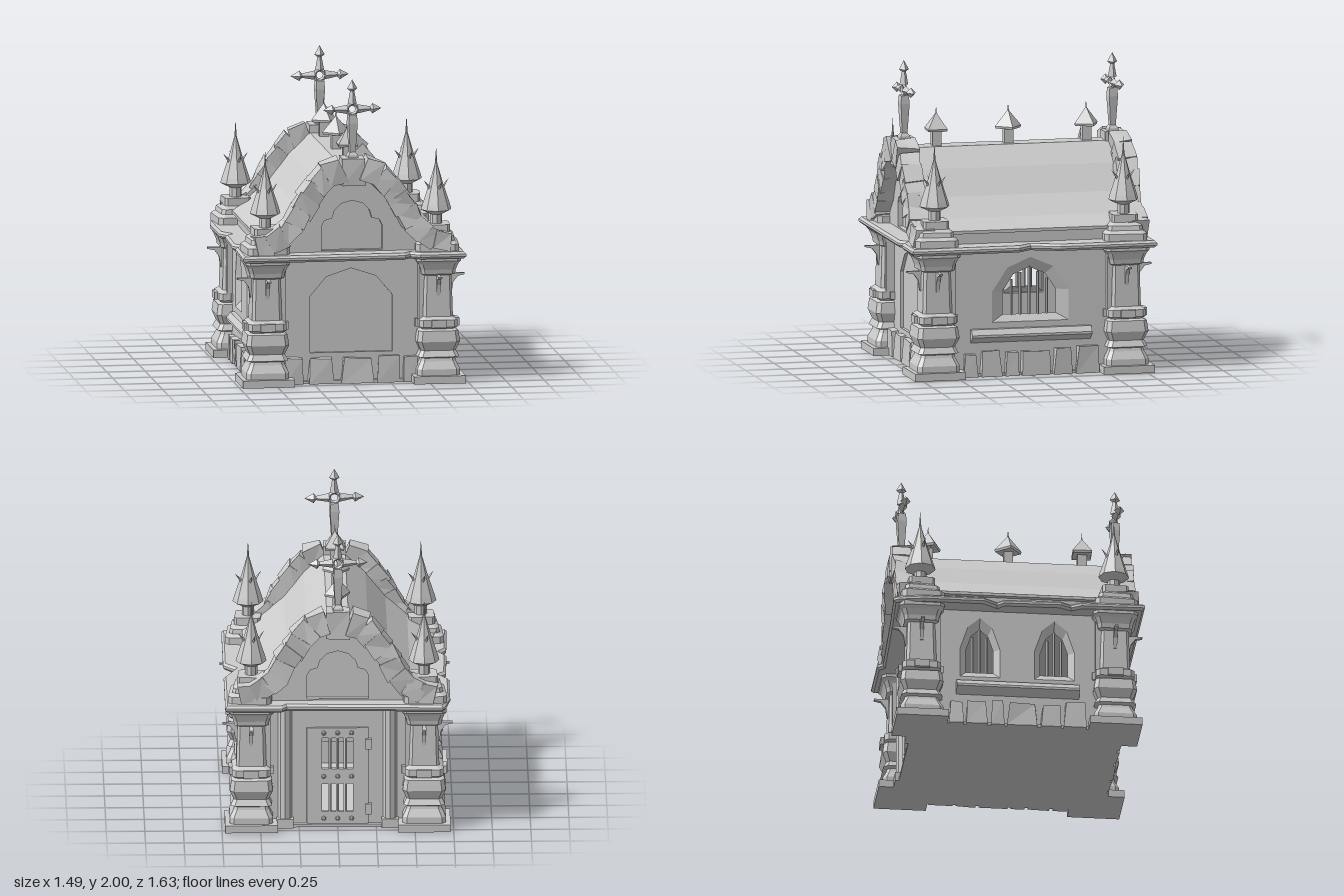
import * as THREE from 'three';

const mat = new THREE.MeshStandardMaterial({ color: 0xcccccc, flatShading: true });
const matDouble = new THREE.MeshStandardMaterial({ color: 0xcccccc, flatShading: true, side: THREE.DoubleSide });
let seed = 7;
const rnd = () => ((seed = (seed * 16807) % 2147483647) / 2147483647) - 0.5;

function add(parent, name, geo, x = 0, y = 0, z = 0, material = mat) {
  const m = new THREE.Mesh(geo, material);
  m.name = name;
  m.position.set(x, y, z);
  parent.add(m);
  return m;
}
function group(parent, name, x = 0, y = 0, z = 0, ry = 0) {
  const g = new THREE.Group();
  g.name = name;
  g.position.set(x, y, z);
  g.rotation.y = ry;
  parent.add(g);
  return g;
}
const box = (w, h, d) => new THREE.BoxGeometry(w, h, d);
const vecs = (pts) => pts.map((p) => new THREE.Vector2(p[0], p[1]));
const lathe = (pts, sides) => new THREE.LatheGeometry(vecs(pts), sides);
const mirrored = (half) => [...half, ...half.filter((p) => p[0] > 0).reverse().map((p) => [-p[0], p[1]])];

// flat plate in xy whose outer face lies on z = 0
function plate(outline, holes, depth) {
  const s = new THREE.Shape(vecs(outline));
  holes.forEach((h) => s.holes.push(new THREE.Path(vecs(h))));
  return new THREE.ExtrudeGeometry(s, { depth, bevelEnabled: false }).translate(0, 0, -depth);
}
const rect = (x0, x1, y0, y1) => [[x1, y0], [x1, y1], [x0, y1], [x0, y0]];
const arch = (w, y0, ys, yt, cx = 0) =>
  mirrored([[w, y0], [w, ys], [w * 0.6, ys + 0.7 * (yt - ys)], [0, yt]]).map((p) => [p[0] + cx, p[1]]);

// chamfered square column from [half width, y] pairs
function squareLoft(pts) {
  const g = new THREE.LatheGeometry(vecs(pts.map(([h, y]) => [h / Math.cos(Math.PI / 8), y])), 8, Math.PI / 8);
  const p = g.attributes.position;
  for (let i = 0; i < p.count; i++) {
    const x = p.getX(i), z = p.getZ(i);
    if (Math.abs(x) > Math.abs(z)) p.setZ(i, z * 1.95);
    else p.setX(i, x * 1.95);
  }
  return g;
}
// rough stone: a box with moved corners, its top narrowed by taper and pushed back
function rock(w, h, d, rough, taper = 1) {
  const g = box(w, h, d), p = g.attributes.position;
  const off = Array.from({ length: 8 }, () => [rnd() * rough, rnd() * rough, rnd() * rough]);
  for (let i = 0; i < p.count; i++) {
    const top = p.getY(i) > 0, k = top ? taper : 1;
    const o = off[(p.getX(i) > 0 ? 1 : 0) + (top ? 2 : 0) + (p.getZ(i) > 0 ? 4 : 0)];
    const lift = taper < 1 && !top ? 0 : o[1];
    p.setXYZ(i, p.getX(i) * k + o[0], p.getY(i) + lift, p.getZ(i) * k + o[2]);
  }
  return g;
}
// sloping reveal between two outlines
function splay(a, b, depth) {
  const v = [];
  a.forEach((p, i) => {
    const j = (i + 1) % a.length, q = a[j], r = b[i], s = b[j];
    v.push(...p, 0, ...q, 0, ...s, -depth, ...p, 0, ...s, -depth, ...r, -depth);
  });
  const g = new THREE.BufferGeometry();
  g.setAttribute('position', new THREE.Float32BufferAttribute(v, 3));
  g.computeVertexNormals();
  return g;
}

function barredWindow(wall, cx, w, bars) {
  const iw = w * 0.69;
  add(wall, 'windowReveal', splay(arch(w, 0.35, 0.55, 0.77, cx), arch(iw, 0.395, 0.55, 0.7, cx), 0.035), 0, 0, 0, matDouble);
  for (let i = 0; i < bars; i++) {
    const x = ((i + 1) / (bars + 1) * 2 - 1) * iw;
    const top = 0.71 - 0.13 * Math.abs(x) / iw;
    add(wall, 'windowBar', new THREE.CylinderGeometry(0.01, 0.01, top - 0.39, 6), cx + x, (top + 0.39) / 2, -0.04);
  }
}
function baseStones(wall, spans) {
  for (const [a, b] of spans) {
    const h = 0.16 + rnd() * 0.03;
    add(wall, 'baseStone', rock(b - a, h, 0.08, 0.015, 0.85), (a + b) / 2, h / 2, 0.005);
  }
}

function column(parent, sx, sz) {
  const c = group(parent, 'cornerColumn', sx * 0.56, 0, sz * 0.63);
  add(c, 'columnBase', box(0.34, 0.05, 0.34), 0, 0.025, 0);
  add(c, 'columnBody', squareLoft([[0.14, 0.05], [0.14, 0.09], [0.115, 0.14], [0.11, 0.16], [0.135, 0.17], [0.115, 0.21],
    [0.14, 0.27], [0.13, 0.34], [0.105, 0.35], [0.125, 0.365], [0.125, 0.41], [0.098, 0.43], [0.09, 0.7], [0.11, 0.71],
    [0.115, 0.74], [0.13, 0.78], [0.145, 0.8], [0.145, 0.83]]));
  add(c, 'pilaster', box(0.2, 0.42, 0.2), -sx * 0.025, 0.61, -sz * 0.025);
  // collar blocks and outward hooks
  add(c, 'collar', box(0.29, 0.05, 0.1), 0, 0.387, 0);
  add(c, 'collar', box(0.1, 0.05, 0.29), 0, 0.387, 0);
  const hook = plate([[0.08, 0.57], [0.1, 0.57], [0.11, 0.64], [0.14, 0.68], [0.185, 0.69], [0.185, 0.7], [0.08, 0.7]], [], 0.024).translate(0, 0, 0.012);
  add(c, 'hook', hook).rotation.y = sx > 0 ? 0 : Math.PI;
  add(c, 'hook', hook).rotation.y = sz > 0 ? -Math.PI / 2 : Math.PI / 2;
  // pedestal and spiked pinnacle above the ledge
  add(c, 'pedestal', squareLoft([[0.14, 0.86], [0.14, 0.91], [0.115, 0.93], [0.11, 0.96], [0.085, 0.98], [0.085, 1.03], [0, 1.03]])).rotation.y = rnd() * 0.2;
  add(c, 'pinnacle', lathe([[0.04, 1.02], [0.04, 1.09], [0.1, 1.12], [0.09, 1.155], [0.045, 1.29], [0.028, 1.35], [0.008, 1.42], [0, 1.53]], 8));
  for (let i = 0; i < 4; i++) {
    const arm = group(c, 'crocket', 0, 1.25, 0, i * Math.PI / 2 + 0.3);
    add(arm, 'spike', new THREE.ConeGeometry(0.014, 0.09, 4), 0.06, 0.03, 0).rotation.z = -0.7;
  }
}

function cross(parent, z) {
  const c = group(parent, 'gableCross', 0, 1.8, z, 0.1);
  add(c, 'centreRing', new THREE.TorusGeometry(0.034, 0.012, 4, 8));
  const arm = lathe([[0, 0.03], [0.03, 0.035], [0.014, 0.12], [0.034, 0.135], [0, 0.195]], 4);
  for (const r of [0, Math.PI / 2, -Math.PI / 2]) add(c, 'crossArm', arm).rotation.z = r;
  const shaft = lathe([[0.05, -0.34], [0.045, -0.3], [0.026, -0.28], [0.042, -0.09], [0.036, -0.035], [0, -0.03]], 4);
  add(c, 'crossShaft', shaft).rotation.y = Math.PI / 4;
}

const ROOF = [[0.6, 0.935], [0.6, 0.955], [0.47, 1.02], [0.33, 1.14], [0.2, 1.305], [0.07, 1.43]];
const TREFOIL = mirrored([[0.2, 0.875], [0.2, 1.03], [0.18, 1.07], [0.13, 1.085], [0.115, 1.135], [0.07, 1.18], [0, 1.2]]);

function gable(parent, s) {
  const g = group(parent, 'gable', 0, 0, s * 0.685, s > 0 ? 0 : Math.PI);
  add(g, 'gableWall', plate(mirrored([[0.57, 0.86], ...ROOF.slice(1)]), [TREFOIL], 0.05));
  // rough coping stones along both slopes
  const path = new THREE.CatmullRomCurve3([[0.08, 1.405], [0.14, 1.385], [0.2, 1.34], [0.32, 1.18], [0.41, 1.03], [0.52, 0.95], [0.63, 0.92]]
    .map((p) => new THREE.Vector3(p[0], p[1], 0)));
  for (const side of [1, -1]) {
    for (let i = 0; i < 8; i++) {
      const u = (i + 0.5) / 8, p = path.getPointAt(u), t = path.getTangentAt(u);
      const m = add(g, 'copingStone', rock(0.118, 0.16 - 0.035 * u, 0.13, 0.025), side * p.x, p.y, 0.03);
      m.rotation.z = side * Math.atan2(t.y, t.x);
    }
  }
  add(g, 'keystone', rock(0.15, 0.18, 0.13, 0.01), 0, 1.395, 0.015);
}

export function createModel() {
  const root = new THREE.Group();
  root.name = 'mausoleum';
  add(root, 'floor', box(1.24, 0.02, 1.36), 0, 0.01, 0);

  // four walls, each built facing +z
  const front = group(root, 'frontWall', 0, 0, 0.65);
  const back = group(root, 'backWall', 0, 0, -0.65, Math.PI);
  const left = group(root, 'leftWall', 0.6, 0, 0, Math.PI / 2);
  const right = group(root, 'rightWall', -0.6, 0, 0, -Math.PI / 2);
  const wide = rect(-0.64, 0.64, 0, 0.83), narrow = rect(-0.59, 0.59, 0, 0.83);
  add(front, 'wall', plate(narrow, [arch(0.27, 0.2, 0.57, 0.75)], 0.04));
  add(front, 'blindArch', box(0.6, 0.62, 0.03), 0, 0.48, -0.035);
  add(left, 'wall', plate(wide, [arch(0.255, 0.35, 0.55, 0.77)], 0.035));
  barredWindow(left, 0, 0.255, 5);
  const sideWindows = [-0.245, 0.24];
  add(right, 'wall', plate(wide, sideWindows.map((x) => arch(0.13, 0.35, 0.55, 0.77, x)), 0.035));
  for (const x of sideWindows) barredWindow(right, x, 0.13, 3);
  for (const w of [left, right]) {
    const sill = plate([[0, 0.22], [0.055, 0.26], [0.055, 0.275], [0.03, 0.31], [0, 0.31]], [], 0.8).translate(0, 0, 0.4);
    add(w, 'sill', sill).rotation.y = -Math.PI / 2;
    baseStones(w, [[-0.45, -0.36], [-0.34, -0.2], [-0.17, -0.09], [-0.07, 0.13], [0.15, 0.28], [0.3, 0.45]]);
  }
  baseStones(front, [[-0.44, -0.31], [-0.28, -0.12], [-0.07, 0.14], [0.17, 0.32], [0.34, 0.44]]);

  // iron door with two barred openings, rivets and hinges
  add(back, 'wall', plate(narrow, [rect(-0.18, 0.18, 0.03, 0.64)], 0.06));
  const door = group(back, 'door', 0, 0, 0.015);
  add(door, 'doorLeaf', plate(rect(-0.2, 0.2, 0.01, 0.67), [rect(-0.1, 0.1, 0.39, 0.6), rect(-0.1, 0.1, 0.1, 0.29)], 0.03));
  for (const y of [0.195, 0.495])
    for (let i = -1; i <= 1; i++) add(door, 'doorBar', new THREE.CylinderGeometry(0.012, 0.012, 0.22, 6), i * 0.05, y, -0.015);
  for (const y of [0.055, 0.34, 0.635])
    for (let i = -1; i <= 1; i++) add(door, 'rivet', new THREE.SphereGeometry(0.016, 6, 4), i * 0.09, y, 0);
  for (const y of [0.12, 0.56]) add(door, 'hinge', box(0.04, 0.07, 0.03), 0.2, y, 0);
  for (const s of [1, -1]) {
    add(back, 'doorPier', new THREE.CylinderGeometry(0.045, 0.045, 0.83, 8), s * 0.34, 0.415, 0);
    add(back, 'pierBase', box(0.11, 0.06, 0.11), s * 0.34, 0.03, 0);
  }

  for (const sx of [1, -1]) for (const sz of [1, -1]) column(root, sx, sz);

  // chipped ledge, outline given as x and -z
  const ledge = [[-0.73, -0.815], [0.33, -0.815], [0.37, -0.77], [0.43, -0.815], [0.73, -0.815], [0.73, -0.1], [0.655, -0.01],
    [0.73, 0.17], [0.73, 0.815], [0.36, 0.815], [0.33, 0.78], [-0.35, 0.8], [-0.68, 0.815], [-0.7, 0.78], [-0.73, 0.62],
    [-0.73, 0.23], [-0.67, 0.14], [-0.71, 0.1], [-0.72, -0.27], [-0.68, -0.34], [-0.72, -0.4]];
  const ledgeGeo = new THREE.ExtrudeGeometry(new THREE.Shape(vecs(ledge)),
    { depth: 0.015, bevelThickness: 0.015, bevelSize: 0.015, bevelOffset: -0.015, bevelSegments: 1 });
  add(root, 'ledge', ledgeGeo.rotateX(-Math.PI / 2), 0, 0.835, 0);

  // concave roof with ridge finials
  add(root, 'eavesBlock', box(1.14, 0.1, 1.3), 0, 0.9, 0);
  add(root, 'roof', plate(mirrored(ROOF), [], 1.3), 0, 0, 0.65);
  [0.48, 0, -0.52].forEach((z, i) => {
    const f = group(root, 'ridgeFinial', 0, 1.42, z, [0.75, 0.1, 0.35][i]);
    add(f, 'finialPost', box(0.06, 0.11, 0.06), 0, 0.055, 0).rotation.y = -f.rotation.y;
    add(f, 'finialCap', lathe([[0, 0.1], [0.085, 0.105], [0.09, 0.12], [0.018, 0.205], [0.006, 0.22], [0, 0.27]], 4));
  });
  for (const s of [1, -1]) {
    gable(root, s);
    cross(root, s * 0.695);
  }
  return root;
}
